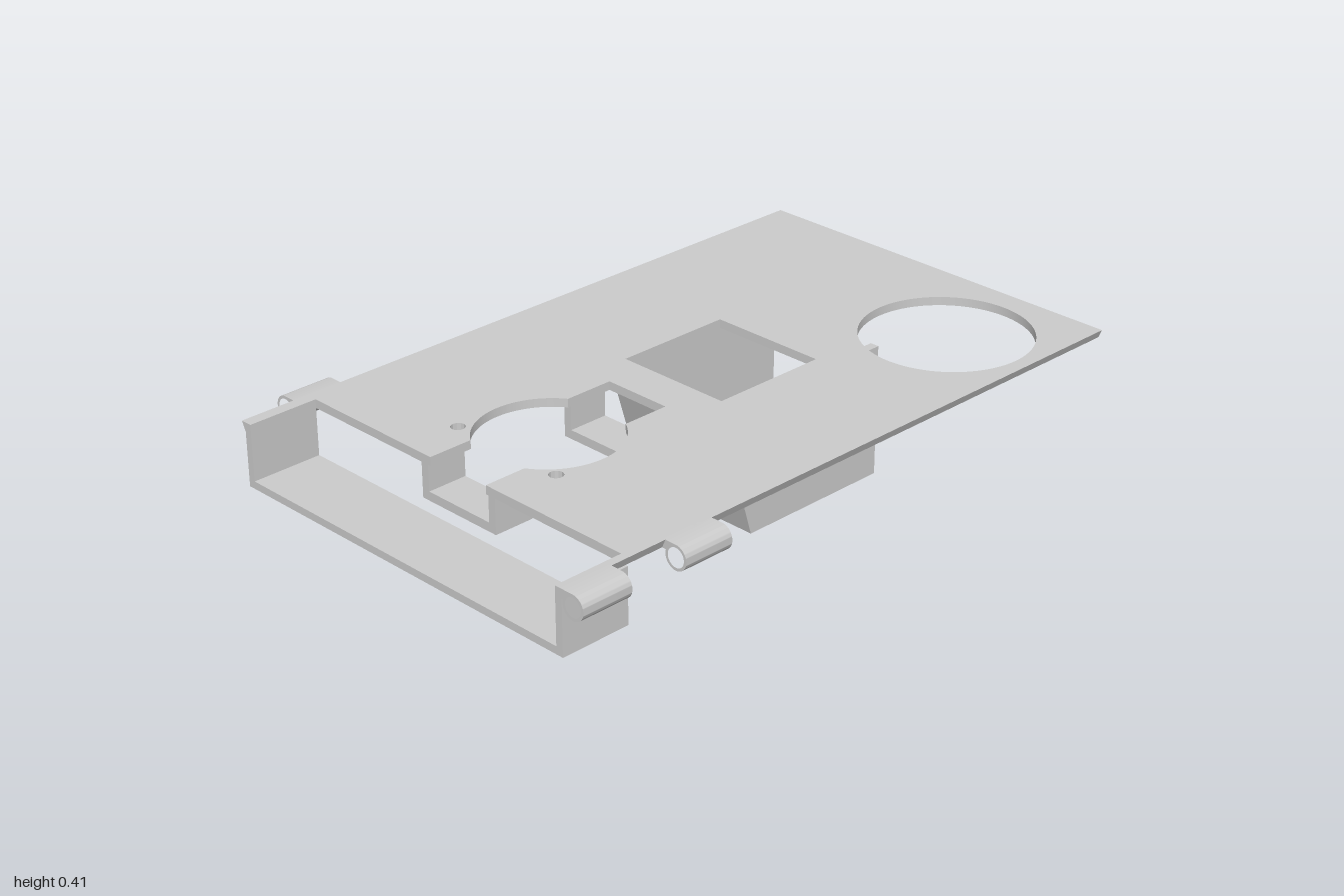
import * as THREE from 'three';
import { toCreasedNormals } from 'three/addons/utils/BufferGeometryUtils.js';

const TOP = 0.415, UNDER = 0.39;

export function createModel() {
  const model = new THREE.Group();
  const material = new THREE.MeshStandardMaterial({ color: 0xcccccc });

  const add = (name, geometry, parent = model) => {
    const mesh = new THREE.Mesh(geometry, material);
    mesh.name = name;
    parent.add(mesh);
    return mesh;
  };
  const group = (name) => {
    const g = new THREE.Group();
    g.name = name;
    model.add(g);
    return g;
  };
  // Box given by its limits on each axis
  const box = (name, parent, x0, x1, y0, y1, z0, z1) =>
    add(name, new THREE.BoxGeometry(x1 - x0, y1 - y0, z1 - z0), parent)
      .position.set((x0 + x1) / 2, (y0 + y1) / 2, (z0 + z1) / 2);
  const extrude = (shape, depth) =>
    new THREE.ExtrudeGeometry(shape, { depth, bevelEnabled: false, curveSegments: 48 });
  const polygon = (pts) => new THREE.Shape(pts.map(([x, y]) => new THREE.Vector2(x, y)));
  const circle = (x, y, r) => new THREE.Path().absarc(x, y, r, 0, Math.PI * 2, true);

  // Top plate: outline runs into the front cut-out, the slots and the round opening
  const r = 0.2, cy = -0.49, a = Math.acos(0.11 / r), b = Math.acos(0.1 / r);
  const outline = polygon([[-0.605, 1], [-0.605, -1], [-0.57, -1], [-0.57, -0.79], [-0.11, -0.79]]);
  outline.absarc(0, cy, r, Math.PI + a, Math.PI - a, true);
  outline.lineTo(-0.11, -0.175).lineTo(0.1, -0.175);
  outline.absarc(0, cy, r, b, -b, true);
  outline.lineTo(0.1, -0.79).lineTo(0.58, -0.79).lineTo(0.58, -1).lineTo(0.605, -1).lineTo(0.605, 1);
  outline.holes.push(
    circle(0.32, 0.682, 0.243),
    circle(-0.19, -0.63, 0.02),
    circle(0.18, -0.63, 0.02),
    polygon([[-0.18, -0.05], [-0.18, 0.31], [0.18, 0.31], [0.18, -0.05]]),
  );
  let plate = extrude(outline, TOP - UNDER).rotateX(-Math.PI / 2).translate(0, UNDER, 0);
  // Undercut the long edges
  const pos = plate.attributes.position;
  for (let i = 0; i < pos.count; i++) {
    const x = pos.getX(i);
    if (Math.abs(x) > 0.6 && pos.getY(i) < 0.4) pos.setX(i, Math.sign(x) * 0.594);
  }
  add('topPlate', toCreasedNormals(plate, 0.5));

  // Front frame below the cut-out
  const frame = group('frontFrame');
  box('frameFloor', frame, -0.592, 0.602, 0.23, 0.252, 0.79, 1);
  box('frameRightWall', frame, -0.592, -0.57, 0.252, UNDER, 0.79, 1);
  box('frameLeftWall', frame, 0.58, 0.602, 0.252, UNDER, 0.79, 1);

  // U-shaped brackets under the two slots
  for (const [name, z0, z1] of [['frontBracket', 0.67, 0.79], ['rearBracket', 0.183, 0.305]]) {
    const u = polygon([[-0.145, UNDER], [-0.145, 0.288], [0.132, 0.288], [0.132, UNDER],
      [0.108, UNDER], [0.108, 0.314], [-0.12, 0.314], [-0.12, UNDER]]);
    add(name, extrude(u, z1 - z0)).position.z = z0;
  }

  // Chute: sloping front, floor, two side walls, open at the back
  const chute = group('chute');
  const side = polygon([[-0.08, UNDER], [0.037, 0], [0.53, 0], [0.53, UNDER]]);
  const lining = polygon([[-0.08, UNDER], [0.037, 0], [0.53, 0], [0.53, 0.027],
    [0.06, 0.027], [-0.05, UNDER]]);
  // Profiles are drawn in (-z, y) and swept along x
  const sweep = (name, shape, x0, x1) =>
    add(name, extrude(shape, x1 - x0).rotateY(Math.PI / 2).translate(x0, 0, 0), chute);
  sweep('chuteRightWall', side, -0.208, -0.181);
  sweep('chuteLeftWall', side, 0.181, 0.208);
  sweep('chuteFloorAndFront', lining, -0.181, 0.181);

  // Hinge barrels with a web joining the plate
  const barrel = polygon([[-0.046, 0.01], [-0.046, 0.035], [0, 0.035]]);
  barrel.absarc(0, 0, 0.035, Math.PI / 2, -Math.PI * 1.09, true);
  barrel.holes.push(circle(0, 0, 0.027));
  const hinges = group('hinges');
  for (const [name, s, z0, z1] of [['leftFrontHinge', 1, 0.845, 1],
    ['leftRearHinge', 1, 0.515, 0.67], ['rightHinge', -1, 0.68, 0.835]]) {
    const geometry = toCreasedNormals(extrude(barrel, z1 - z0), 0.5);
    // Half a turn about y mirrors the barrel to the other side
    if (s < 0) geometry.translate(0, 0, z0 - z1).rotateY(Math.PI);
    add(name, geometry, hinges).position.set(s * 0.64, 0.38, z0);
  }
  return model;
}
